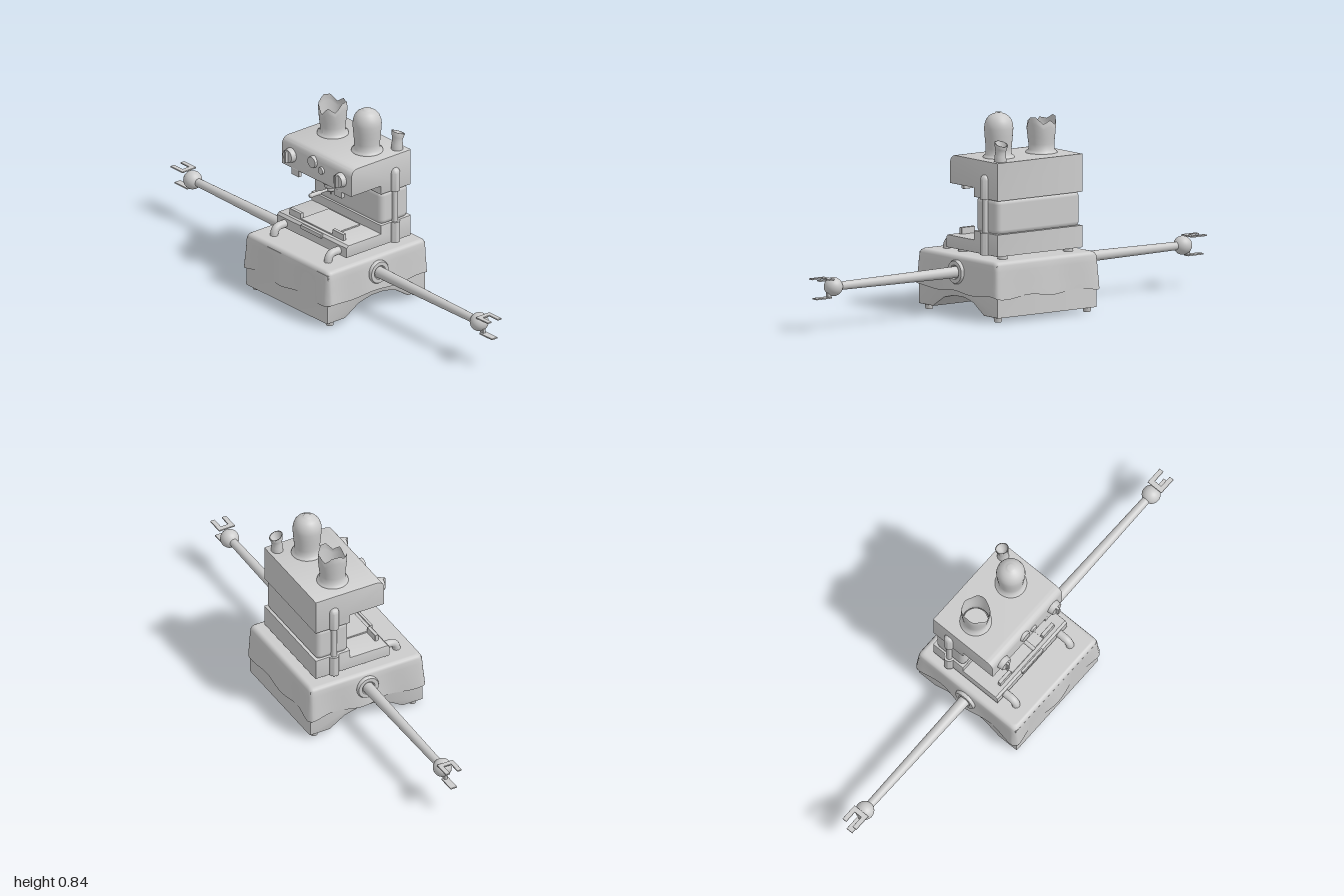
import * as THREE from 'three';
import { toCreasedNormals } from 'three/addons/utils/BufferGeometryUtils.js';
import { RoundedBoxGeometry } from 'three/addons/geometries/RoundedBoxGeometry.js';

const mat = new THREE.MeshStandardMaterial({ color: 0xcccccc, roughness: 0.7 });
const thin = new THREE.MeshStandardMaterial({ color: 0xcccccc, roughness: 0.7, side: THREE.DoubleSide });

export function createModel() {
  const root = new THREE.Group();
  const add = (name, geo, x = 0, y = 0, z = 0, parent = root, m = mat) => {
    const mesh = new THREE.Mesh(geo, m);
    mesh.name = name;
    mesh.position.set(x, y, z);
    parent.add(mesh);
    return mesh;
  };
  const box = (name, w, h, d, x, y, z, parent) =>
    add(name, new RoundedBoxGeometry(w, h, d, 2, Math.min(w, h, d) * 0.15), x, y, z, parent);
  const cyl = (name, r1, r2, h, x, y, z, parent) =>
    add(name, new THREE.CylinderGeometry(r1, r2, h, 28), x, y, z, parent);
  const lathe = (pts, n = 40) => new THREE.LatheGeometry(pts.map(p => new THREE.Vector2(...p)), n);
  // Extrudes a side profile of [z, y] points across the width
  const sideExtrude = (shape, width, bevel) => {
    const g = new THREE.ExtrudeGeometry(shape, {
      depth: width - 2 * bevel, bevelSize: bevel, bevelThickness: bevel, bevelOffset: -bevel, bevelSegments: 2, curveSegments: 10,
    });
    g.translate(0, 0, -width / 2 + bevel);
    g.rotateY(-Math.PI / 2);
    return toCreasedNormals(g, 0.5);
  };

  // Plinth with an arched underside
  const plinth = new THREE.Shape([[-0.262, 0.02], [-0.17, 0.02], [-0.1, 0.065], [-0.04, 0.08], [0.03, 0.08],
    [0.095, 0.065], [0.17, 0.02], [0.265, 0.02], [0.262, 0.235], [-0.26, 0.235]].map(p => new THREE.Vector2(...p)));
  add('plinth', sideExtrude(plinth, 0.515, 0.004));
  for (const x of [-0.23, 0.23]) for (const z of [-0.23, 0.23]) cyl('plinthFoot', 0.019, 0.015, 0.025, x, 0.0125, z);

  // Draped cover over the plinth, flaring in soft folds toward the hem
  const rings = [[0.1, 0.268], [0.13, 0.267], [0.17, 0.265], [0.21, 0.264], [0.234, 0.262], [0.244, 0.258], [0.249, 0.25], [0.25, 0.243], [0.25, 0.0]];
  const N = 44, M = N * 4, pos = [], idx = [];
  rings.forEach(([y, h], j) => {
    const t = Math.max(0, (0.235 - y) / 0.135);
    for (let i = 0; i < M; i++) {
      const side = Math.floor(i / N), u = (i % N) / N * 2 - 1;
      const fold = 0.009 * t * Math.cos((u + 1) * Math.PI * 2) * (0.6 + 0.4 * Math.cos(side * 2 + u));
      const r = 0.018, k = Math.max(h - r, 0), a = Math.min(Math.max(u * h, -k), k);
      const e = u * h - a, len = Math.hypot(e, h - k) || 1;
      const c = new THREE.Vector2(a + e / len * (h - k), k + (h - k) / len * (h - k) + fold);
      c.rotateAround(new THREE.Vector2(), -side * Math.PI / 2);
      const hem = j === 0 ? 0.006 * Math.sin(u * 7 + side * 2) : 0;
      pos.push(c.x, y + hem, c.y);
      if (j) {
        const n = (i + 1) % M, A = (j - 1) * M, B = j * M;
        idx.push(A + i, A + n, B + i, A + n, B + n, B + i);
      }
    }
  });
  const cover = new THREE.BufferGeometry();
  cover.setAttribute('position', new THREE.Float32BufferAttribute(pos, 3));
  cover.setIndex(idx);
  cover.computeVertexNormals();
  add('drapedCover', cover, 0, 0, 0, root, thin);

  // Machine body: tray base, recessed column and overhanging head
  const lower = new THREE.Shape([[-0.215, 0.265], [0.13, 0.265], [0.13, 0.308], [0.12, 0.318], [-0.055, 0.318],
    [-0.055, 0.356], [-0.215, 0.356]].map(p => new THREE.Vector2(...p)));
  add('trayBase', sideExtrude(lower, 0.44, 0.003));
  box('column', 0.43, 0.15, 0.15, 0, 0.425, -0.133);
  const head = new THREE.Shape();
  head.moveTo(-0.215, 0.495);
  head.lineTo(-0.055, 0.495);
  head.lineTo(-0.055, 0.533);
  head.lineTo(0.105, 0.533);
  head.lineTo(0.105, 0.612);
  head.quadraticCurveTo(0.105, 0.652, 0.065, 0.652);
  head.lineTo(-0.215, 0.652);
  add('head', sideExtrude(head, 0.44, 0.003));

  // Drip tray details
  box('dripTray', 0.2, 0.012, 0.15, 0, 0.318, 0.03);
  box('trayLip', 0.13, 0.018, 0.012, 0, 0.308, 0.13);
  cyl('frontFoot', 0.02, 0.02, 0.02, 0, 0.258, 0.08);
  for (const s of [-1, 1]) {
    box('trayBlock', 0.07, 0.03, 0.016, s * 0.135, 0.331, 0.097);
    box('headLug', 0.048, 0.032, 0.017, s * 0.135, 0.52, 0.097);
    for (const z of [0.08, -0.182]) cyl('bodyFoot', 0.02, 0.02, 0.024, s * 0.17, 0.257, z);

    // Bent pipe from the tray into the cover
    const pipe = new THREE.CurvePath();
    pipe.add(new THREE.LineCurve3(new THREE.Vector3(0, 0.284, 0.12), new THREE.Vector3(0, 0.284, 0.155)));
    pipe.add(new THREE.QuadraticBezierCurve3(new THREE.Vector3(0, 0.284, 0.155), new THREE.Vector3(0, 0.284, 0.188), new THREE.Vector3(0, 0.245, 0.188)));
    add('bentPipe', new THREE.TubeGeometry(pipe, 20, 0.017, 14), s * 0.17);

    // Side post with a slim middle and a rounded cap
    add('sidePost', toCreasedNormals(lathe([[0, 0.265], [0.022, 0.265], [0.022, 0.356], [0.013, 0.356], [0.013, 0.495], [0.022, 0.495],
      [0.022, 0.575], [0.018, 0.587], [0.01, 0.594], [0, 0.596]], 24), 0.6), s * 0.218, 0, -0.13);

    // Control knob with grip bar
    const knob = new THREE.Group();
    knob.name = 'controlKnob';
    knob.position.set(s * 0.158, 0.59, 0.1);
    root.add(knob);
    cyl('knobDisc', 0.028, 0.032, 0.028, 0, 0, 0.014, knob).rotation.x = Math.PI / 2;
    box('knobGrip', 0.012, 0.052, 0.016, 0, 0, 0.033, knob);
  }

  // Gauge and button on the head
  cyl('gauge', 0.024, 0.026, 0.016, -0.02, 0.608, 0.108).rotation.x = Math.PI / 2;
  cyl('button', 0.015, 0.016, 0.014, 0.035, 0.588, 0.108).rotation.x = Math.PI / 2;

  // Brewing group, filter handle and spout
  add('brewGroup', toCreasedNormals(lathe([[0, 0.446], [0.004, 0.446], [0.004, 0.463], [0.018, 0.463], [0.022, 0.468], [0.022, 0.48],
    [0.028, 0.482], [0.03, 0.498], [0.036, 0.5], [0.036, 0.535]], 28), 0.6), 0, 0, 0.027);
  add('filterHandle', lathe([[0, 0], [0.006, 0], [0.006, 0.03], [0.009, 0.036], [0.0095, 0.085], [0.007, 0.092], [0, 0.092]], 16),
    0, 0.471, 0.05).rotation.x = Math.PI / 2;
  for (const s of [-1, 1]) box('groupLug', 0.022, 0.014, 0.016, s * 0.034, 0.492, 0.027);

  // Tall domed vessel
  const wall = [[0.066, 0.65], [0.064, 0.658], [0.053, 0.665], [0.053, 0.69], [0.056, 0.72], [0.058, 0.745], [0.06, 0.772]];
  add('domedVessel', lathe([...wall, [0.058, 0.79], [0.052, 0.808], [0.041, 0.822], [0.027, 0.831], [0.016, 0.834], [0.014, 0.838], [0, 0.838]]),
    0.107, 0, -0.076);

  // Matching vessel with a broken, jagged rim
  const rim = [0.75, 0.785, 0.765, 0.8, 0.803, 0.775, 0.79, 0.77, 0.8, 0.803, 0.785, 0.79];
  const broken = lathe([...wall, [0.06, 0.785], [0.058, 0.803]], 48);
  const bp = broken.attributes.position;
  for (let i = 0; i < bp.count; i++) {
    const a = (Math.atan2(bp.getX(i), bp.getZ(i)) / (2 * Math.PI) + 1) % 1 * 12, k = Math.floor(a);
    const top = THREE.MathUtils.lerp(rim[k % 12], rim[(k + 1) % 12], a - k);
    const y = bp.getY(i);
    if (y > 0.69) bp.setY(i, 0.69 + (y - 0.69) * (top - 0.69) / 0.113);
  }
  broken.computeVertexNormals();
  add('brokenVessel', broken, -0.112, 0, -0.078, root, thin);
  cyl('brokenVesselFloor', 0.05, 0.05, 0.004, -0.112, 0.668, -0.078);

  // Small leaning cup with a sheared rim
  const cup = lathe([[0.025, 0], [0.024, 0.025], [0.021, 0.04], [0.024, 0.055], [0.028, 0.075], [0.023, 0.075], [0.018, 0.045], [0, 0.042]], 24);
  const cp = cup.attributes.position;
  for (let i = 0; i < cp.count; i++) {
    const y = cp.getY(i), t = y / 0.075;
    cp.setXYZ(i, cp.getX(i), y + cp.getZ(i) * 0.38 * t * t, cp.getZ(i) - 0.006 * t * t);
  }
  cup.computeVertexNormals();
  add('leaningCup', cup, 0.177, 0.65, -0.177, root, thin);

  // Outstretched arms with ball wrists and three flat fingers
  for (const s of [-1, 1]) {
    const arm = new THREE.Group();
    arm.name = s > 0 ? 'leftArm' : 'rightArm';
    arm.position.y = 0.182;
    if (s < 0) arm.rotation.y = Math.PI;
    root.add(arm);
    const socket = lathe([[0.05, 0], [0.05, 0.022], [0.046, 0.028], [0.03, 0.028], [0.026, 0.022], [0, 0.022]], 32);
    add('shoulderSocket', toCreasedNormals(socket, 0.6), 0.25, 0, 0, arm).rotation.z = -Math.PI / 2;
    cyl('armRod', 0.017, 0.024, 0.63, 0.575, 0, 0, arm).rotation.z = -Math.PI / 2;
    add('wristBall', new THREE.SphereGeometry(0.039, 28, 18), 0.903, 0, 0, arm);
    box('fingerBridge', 0.022, 0.006, 0.074, 0.935, 0.036, 0, arm);
    for (const z of [-0.027, 0.027]) box('upperFinger', 0.075, 0.006, 0.02, 0.9625, 0.036, z, arm);
    box('lowerFinger', 0.08, 0.006, 0.03, 0.96, -0.043, 0, arm);
    box('lowerFingerRoot', 0.02, 0.02, 0.014, 0.926, -0.032, 0, arm);
  }
  return root;
}
